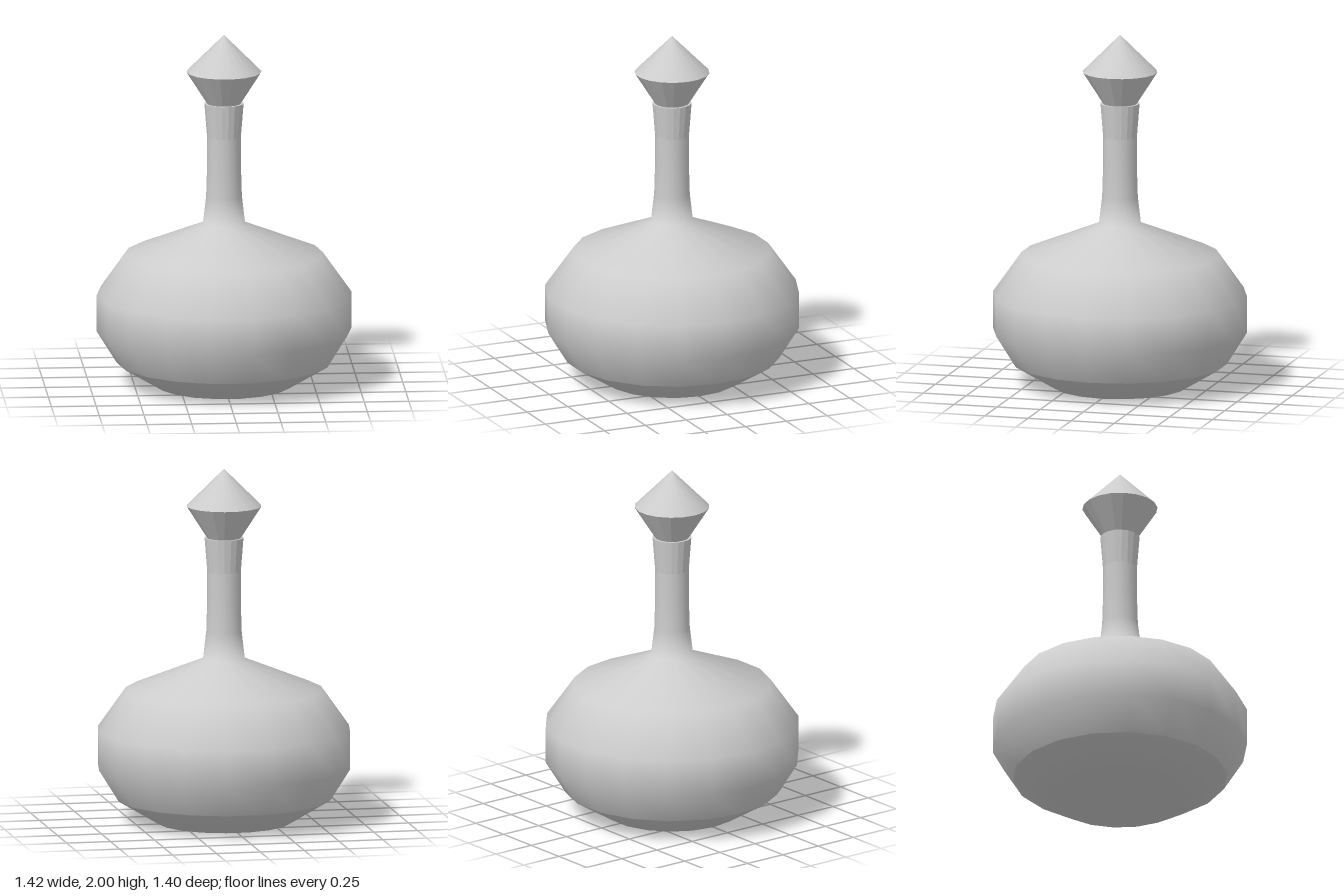
import * as THREE from 'three';

const SIDES = 18;

export function createModel() {
  const model = new THREE.Group();
  const smooth = new THREE.MeshStandardMaterial({ color: 0xcccccc });
  const faceted = new THREE.MeshStandardMaterial({ color: 0xcccccc, flatShading: true });

  // Turns a [radius, height] profile, listed from bottom to top, with a corner on +x
  function turn(name, profile, material) {
    const points = profile.map(([r, y]) => new THREE.Vector2(r, y));
    const mesh = new THREE.Mesh(new THREE.LatheGeometry(points, SIDES, Math.PI / 2), material);
    mesh.name = name;
    model.add(mesh);
  }

  // Base: closed underside and the sloping band above it
  turn('base', [[0, 0], [0.375, 0], [0.6, 0.135]], smooth);

  // Bulbous body flowing into the slender neck
  turn('bodyAndNeck', [
    [0.6, 0.135], [0.712, 0.315], [0.712, 0.525], [0.553, 0.75],
    [0.118, 0.925], [0.1, 1.08], [0.095, 1.25], [0.095, 1.42],
  ], smooth);

  // Flared lip with its flat rim
  turn('lip', [[0.095, 1.42], [0.11, 1.61]], faceted);
  turn('rim', [[0.11, 1.61], [0, 1.61]], faceted);

  // Stopper: faceted funnel below, smooth cone above
  turn('stopperBase', [[0.095, 1.61], [0.21, 1.79]], faceted);
  turn('stopperTop', [[0.21, 1.79], [0, 2]], smooth);

  return model;
}
